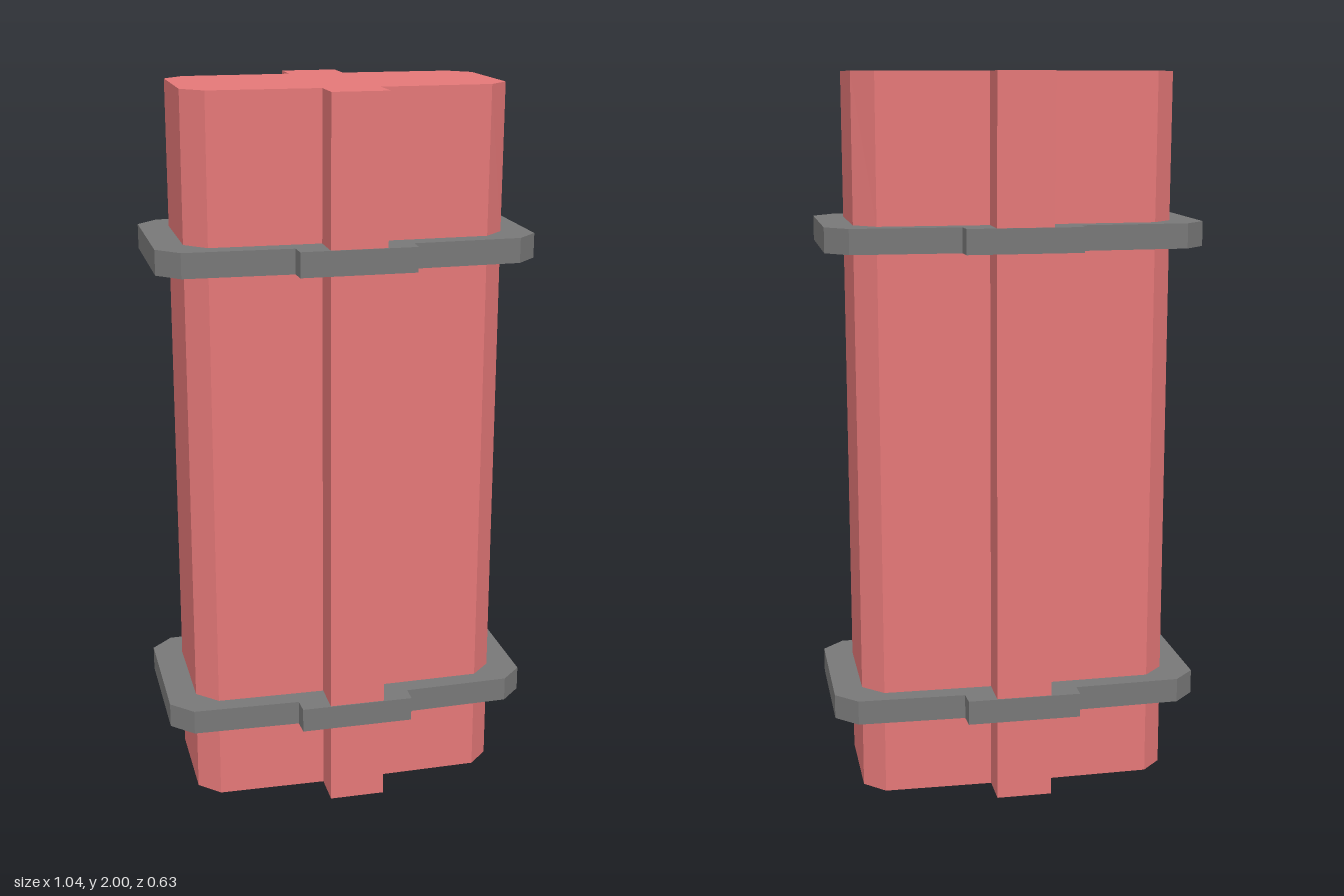
import * as THREE from 'three';

const red = new THREE.MeshStandardMaterial({ color: 0xe57878, flatShading: true });
const grey = new THREE.MeshStandardMaterial({ color: 0x787878, flatShading: true });

// Mirror a quarter outline (from the rib to the side) into a full closed loop.
function outline(quarter) {
  const back = [...quarter].reverse();
  return [
    ...quarter.map(([x, z]) => [x, z]),
    ...back.map(([x, z]) => [x, -z]),
    ...quarter.map(([x, z]) => [-x, -z]),
    ...back.map(([x, z]) => [-x, z]),
  ].map(([x, z]) => new THREE.Vector2(x, z));
}

// Extrude an outline upwards from y = 0.
function prism(shape, height, steps = 1) {
  const geo = new THREE.ExtrudeGeometry(shape, { depth: height, steps, bevelEnabled: false });
  return geo.rotateX(-Math.PI / 2);
}

export function createModel() {
  const group = new THREE.Group();

  // Block with chamfered corners and a rib on the front and back
  const section = [[0.077, 0.305], [0.077, 0.205], [0.38, 0.2], [0.437, 0.143]];
  const bodyGeo = prism(new THREE.Shape(outline(section)), 2, 5);

  // Slight flare in depth towards the top
  const pos = bodyGeo.attributes.position;
  for (let i = 0; i < pos.count; i++) {
    if (pos.getY(i) > 1.99) pos.setZ(i, pos.getZ(i) * 1.025);
  }
  bodyGeo.computeVertexNormals();
  const body = new THREE.Mesh(bodyGeo, red);
  body.name = 'body';
  group.add(body);

  // Two bands wrapped around the block
  const bandShape = new THREE.Shape(
    outline([[0.158, 0.308], [0.16, 0.258], [0.458, 0.25], [0.518, 0.19]]));
  const inner = section.map(([x, z]) => [x - 0.003, z - 0.005]);
  bandShape.holes.push(new THREE.Path(outline(inner).reverse()));
  const bandGeo = prism(bandShape, 0.068);
  [['lowerBand', 0.227], ['upperBand', 1.53]].forEach(([name, y]) => {
    const band = new THREE.Mesh(bandGeo, grey);
    band.name = name;
    band.position.y = y;
    group.add(band);
  });

  return group;
}
